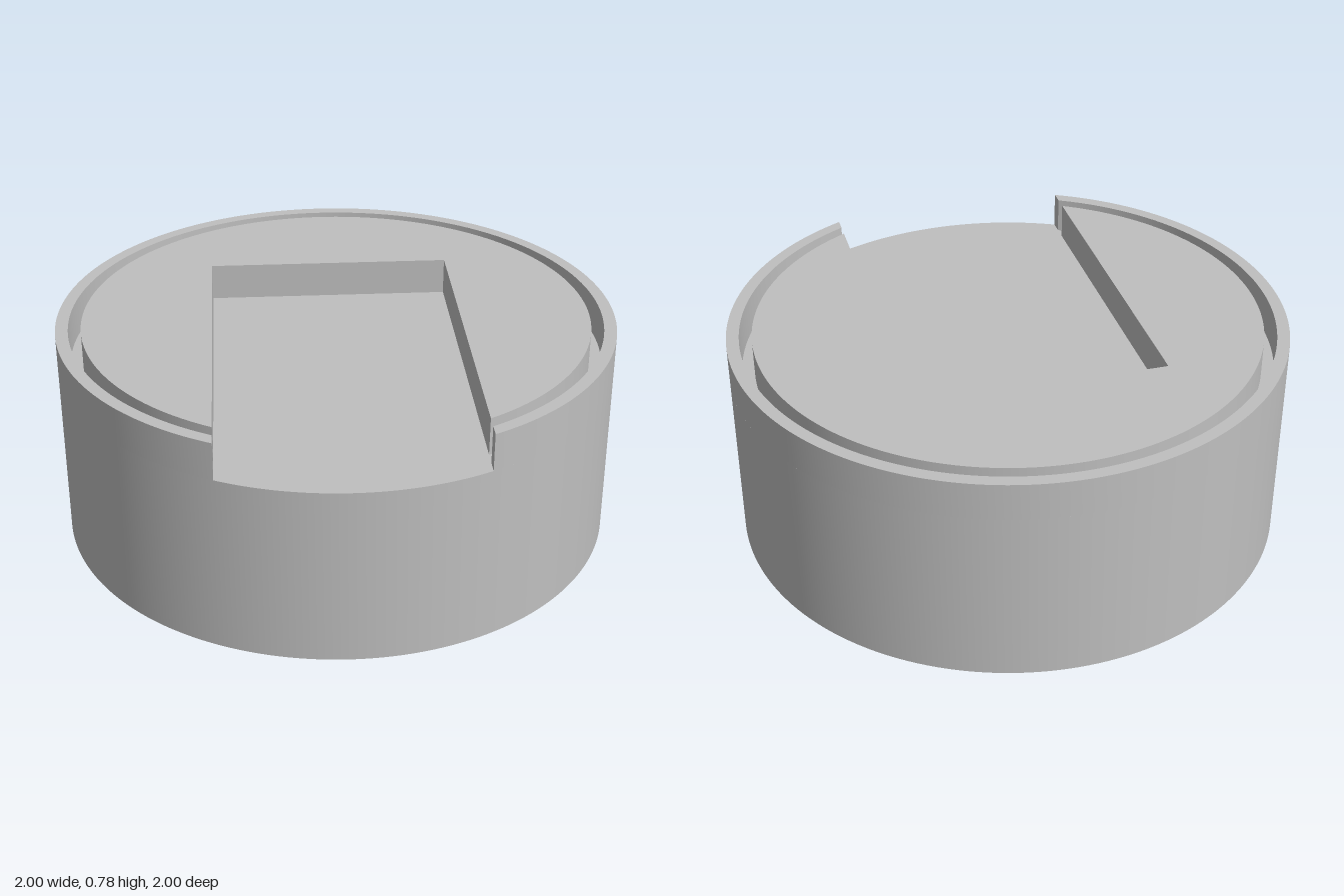
import * as THREE from 'three';
import { toCreasedNormals } from 'three/addons/utils/BufferGeometryUtils.js';

const FLOOR = 0.645, TOP = 0.78;   // slot and groove floor, top face
const HALF = 0.445, BACK = 0.45;   // slot half width, slot back wall
const R_OUT = 1, R_RIM = 0.955, R_CORE = 0.91;

export function createModel() {
  const model = new THREE.Group();
  const grey = new THREE.MeshStandardMaterial({ color: 0xbfbfbf });
  grey.name = 'grey';

  // Angles where a circle of radius r meets the two slot walls (shape -y is the front)
  const rightAngle = (r) => -Math.acos(HALF / r);
  const leftAngle = (r) => Math.PI + Math.acos(HALF / r);

  // Extrude a plan shape upwards between two heights, with smooth round walls
  function addPlate(name, shape, y0, y1) {
    let geometry = new THREE.ExtrudeGeometry(shape, { depth: y1 - y0, bevelEnabled: false, curveSegments: 128 });
    geometry.rotateX(-Math.PI / 2);
    geometry.translate(0, y0, 0);
    geometry = toCreasedNormals(geometry, 0.5);
    const mesh = new THREE.Mesh(geometry, grey);
    mesh.name = name;
    model.add(mesh);
  }

  // Solid round body up to the slot floor
  const disc = new THREE.Shape();
  disc.absarc(0, 0, R_OUT, 0, Math.PI * 2, false);
  addPlate('body', disc, 0, FLOOR);

  // Raised inner disc with the rectangular slot open to the front
  const core = new THREE.Shape();
  core.absarc(0, 0, R_CORE, rightAngle(R_CORE), leftAngle(R_CORE), false);
  core.lineTo(-HALF, BACK);
  core.lineTo(HALF, BACK);
  core.closePath();
  addPlate('slottedDisc', core, FLOOR, TOP);

  // Thin outer rim, separated by a groove and broken by the slot
  const rim = new THREE.Shape();
  rim.absarc(0, 0, R_OUT, rightAngle(R_OUT), leftAngle(R_OUT), false);
  rim.absarc(0, 0, R_RIM, leftAngle(R_RIM), rightAngle(R_RIM), true);
  rim.closePath();
  addPlate('rim', rim, FLOOR, TOP);

  return model;
}
